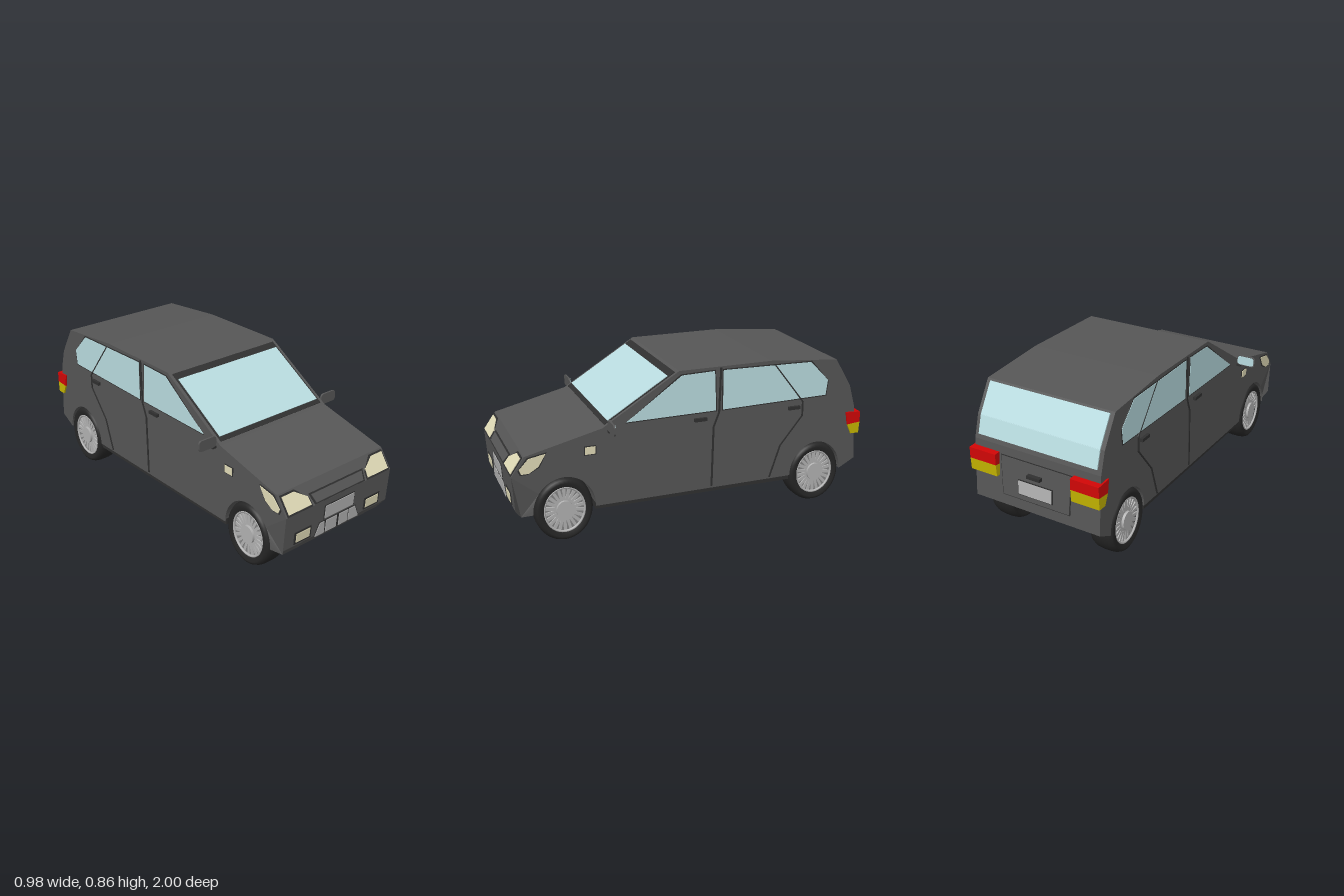
import * as THREE from 'three';

const mat = (name, color, side = THREE.FrontSide) => {
  const m = new THREE.MeshStandardMaterial({ color, side });
  m.name = name;
  return m;
};
const M = {
  body: mat('body grey', 0x565656),
  trim: mat('dark trim', 0x303030),
  tyre: mat('tyre black', 0x262626),
  glass: mat('pale glass', 0xb9dce0),
  silver: mat('silver', 0xb2b2b2),
  shade: mat('rim shade', 0x858585),
  lamp: mat('cream lamp', 0xe2dcb8),
  red: mat('red lamp', 0xd00606),
  yellow: mat('yellow lamp', 0xc4b400),
};
const HALF = 0.378;

export function createModel() {
  const car = new THREE.Group();
  car.name = 'car';

  const add = (name, geo, m, parent = car) => {
    const mesh = new THREE.Mesh(geo, m);
    mesh.name = name;
    parent.add(mesh);
    return mesh;
  };
  const box = (name, m, w, h, d, x, y, z, parent = car) => {
    const b = add(name, new THREE.BoxGeometry(w, h, d), m, parent);
    b.position.set(x, y, z);
    return b;
  };
  const extrude = (pts, depth) => new THREE.ExtrudeGeometry(
    new THREE.Shape(pts.map(p => new THREE.Vector2(p[0], p[1]))),
    { depth, bevelEnabled: false });

  // slab drawn in (z, y), spanning x0 to x0 + t, on both sides of the car
  const sides = (name, m, pts, t = 0.004, x0 = HALF) => {
    for (const [label, x] of [['left', x0 + t], ['right', -x0]]) {
      const g = extrude(pts, t);
      g.rotateY(-Math.PI / 2);
      g.translate(x, 0, 0);
      add(label + name, g, m);
    }
  };
  // thin plate drawn in (x, y), laid on the slope from a to b, both (z, y); dir 1 front, -1 back
  const face = (name, m, pts, a, b, t = 0.006, dir = 1) => {
    const dz = b[0] - a[0], dy = b[1] - a[1], len = Math.hypot(dz, dy);
    const g = extrude(pts.map(([x, y]) => [x * dir, (y - a[1]) / dy * len]), t);
    const X = new THREE.Vector3(dir, 0, 0), Y = new THREE.Vector3(0, dy / len, dz / len);
    const basis = new THREE.Matrix4().makeBasis(X, Y, X.clone().cross(Y));
    g.applyMatrix4(basis.setPosition(0, a[1], a[0]));
    add(name, g, m);
  };
  const rect = (x0, x1, y0, y1) => [[x0, y0], [x1, y0], [x1, y1], [x0, y1]];
  const flip = pts => pts.map(([x, y]) => [-x, y]);
  const grow = (pts, d) => {
    const cx = pts.reduce((s, p) => s + p[0], 0) / pts.length;
    const cy = pts.reduce((s, p) => s + p[1], 0) / pts.length;
    return pts.map(([x, y]) => [x + Math.sign(x - cx) * d, y + Math.sign(y - cy) * d]);
  };
  const line = (pts, w) => [
    ...pts.map(([z, y]) => [z - w / 2, y]),
    ...pts.slice().reverse().map(([z, y]) => [z + w / 2, y])];

  // body shell: side profile with wheel arches cut in
  const arch = (zc, rx, ry, y0) => Array.from({ length: 25 }, (_, i) => {
    const a = Math.PI * i / 24;
    return [zc - rx * Math.cos(a), y0 + ry * Math.sin(a)];
  });
  const shell = extrude([
    [-0.89, 0.18], ...arch(-0.727, 0.159, 0.18, 0.18), ...arch(0.73, 0.168, 0.187, 0.175),
    [0.955, 0.16], [0.988, 0.21], [1.0, 0.4], [0.93, 0.5], [0.52, 0.6], [0.1, 0.86],
    [-0.43, 0.862], [-0.83, 0.83], [-0.925, 0.67], [-0.96, 0.55], [-0.982, 0.23],
  ], HALF * 2);
  shell.rotateY(-Math.PI / 2);
  shell.translate(HALF, 0, 0);
  const p = shell.attributes.position;
  for (let i = 0; i < p.count; i++) {
    if (p.getY(i) < 0.17 && p.getZ(i) > 0.94) p.setX(i, p.getX(i) * 0.92);
  }
  shell.computeVertexNormals();
  add('bodyShell', shell, M.body);

  // floor and sills
  box('floor', M.trim, 0.46, 0.02, 1.8, 0, 0.172, 0.04);
  box('sills', M.trim, 0.745, 0.035, 1.13, 0, 0.173, 0);

  // windscreen
  const screen = rect(-0.35, 0.35, 0.624, 0.828);
  const wsA = [0.52, 0.6], wsB = [0.1, 0.86];
  face('windscreenTrim', M.trim, rect(-0.36, 0.36, 0.61, 0.85), wsA, wsB, 0.003);
  face('windscreen', M.glass, screen, wsA, wsB, 0.007);

  // rear window in two bent panes
  const rw = [[-0.96, 0.55], [-0.925, 0.67], [-0.83, 0.83]];
  face('rearWindowLower', M.glass, rect(-0.355, 0.355, 0.575, 0.672), rw[0], rw[1], 0.007, -1);
  face('rearWindowUpper', M.glass, rect(-0.355, 0.355, 0.668, 0.82), rw[1], rw[2], 0.007, -1);

  // side windows
  const frontWindow = [[0.39, 0.617], [0.085, 0.835], [-0.1, 0.84], [-0.11, 0.622]];
  const rearWindow = [[-0.15, 0.622], [-0.15, 0.84], [-0.67, 0.832], [-0.78, 0.72], [-0.77, 0.634]];
  for (const [n, w] of [['FrontWindow', frontWindow], ['RearWindow', rearWindow]]) {
    sides(n + 'Trim', M.trim, grow(w, 0.006), 0.002);
    sides(n, M.glass, w, 0.004);
  }

  // door seams and handles
  sides('FrontDoorSeam', M.trim,
    line([[-0.135, 0.855], [-0.128, 0.61], [-0.097, 0.53], [-0.09, 0.19]], 0.01), 0.005);
  sides('RearDoorSeam', M.trim,
    line([[-0.45, 0.84], [-0.63, 0.61], [-0.63, 0.53], [-0.5, 0.37], [-0.44, 0.19]], 0.009), 0.005);
  for (const z of [-0.02, -0.575]) {
    sides('DoorHandle', M.trim,
      [[z - 0.035, 0.573], [z + 0.035, 0.573], [z + 0.035, 0.591], [z - 0.035, 0.591]], 0.016);
  }

  // headlamps wrapping onto the wings
  const noseA = [1.0, 0.4], noseB = [0.93, 0.5];
  const lamp = [[0.205, 0.408], [0.36, 0.408], [0.36, 0.485], [0.28, 0.485], [0.21, 0.445]];
  for (const [n, q] of [['left', lamp], ['right', flip(lamp)]]) {
    face(n + 'HeadlampTrim', M.trim, grow(q, 0.008), noseA, noseB, 0.004);
    face(n + 'Headlamp', M.lamp, q, noseA, noseB, 0.008);
  }
  const wing = [[0.96, 0.435], [0.91, 0.488], [0.82, 0.505], [0.86, 0.44], [0.91, 0.41], [0.95, 0.41]];
  sides('HeadlampWingTrim', M.trim, grow(wing, 0.006), 0.004);
  sides('HeadlampWing', M.lamp, wing, 0.007);
  const marker = [[0.56, 0.47], [0.615, 0.47], [0.615, 0.51], [0.56, 0.51]];
  sides('MarkerTrim', M.trim, grow(marker, 0.005), 0.003);
  sides('Marker', M.lamp, marker, 0.006);

  // grille recess between the headlamps
  face('grilleOutline', M.trim,
    [[-0.18, 0.401], [0.18, 0.401], [0.195, 0.453], [-0.195, 0.453]], noseA, noseB, 0.003);
  face('grillePanel', M.body,
    [[-0.17, 0.407], [0.17, 0.407], [0.183, 0.446], [-0.183, 0.446]], noseA, noseB, 0.005);

  // bumper: plate, fog lamps and lower intakes
  const bumpA = [0.988, 0.21], bumpB = [1.0, 0.4];
  face('frontPlateTrim', M.trim, rect(-0.109, 0.109, 0.286, 0.369), bumpA, bumpB, 0.003);
  face('frontPlate', M.silver, rect(-0.104, 0.104, 0.291, 0.364), bumpA, bumpB, 0.006);
  for (const [n, s] of [['left', 1], ['right', -1]]) {
    const c = 0.253 * s;
    face(n + 'FogLampTrim', M.trim, rect(c - 0.058, c + 0.058, 0.22, 0.29), bumpA, bumpB, 0.004);
    face(n + 'FogLamp', M.lamp, rect(c - 0.047, c + 0.047, 0.231, 0.28), bumpA, bumpB, 0.007);
  }
  const intakes = [
    [[-0.165, 0.205], [-0.098, 0.205], [-0.103, 0.275], [-0.135, 0.275]],
    rect(-0.09, -0.012, 0.205, 0.275), rect(0.006, 0.07, 0.205, 0.275),
    [[0.078, 0.205], [0.155, 0.205], [0.122, 0.275], [0.078, 0.275]],
  ];
  face('intakeTrim', M.trim,
    [[-0.17, 0.203], [0.16, 0.203], [0.126, 0.28], [-0.139, 0.28]], bumpA, bumpB, 0.003);
  intakes.forEach((q, i) => face('intake' + (i + 1), M.silver, q, bumpA, bumpB, 0.006));

  // tail lamps
  sides('TailLampRed', M.red,
    [[-0.908, 0.515], [-0.998, 0.51], [-0.998, 0.45], [-0.92, 0.442]], 0.163, 0.225);
  sides('TailLampYellow', M.yellow,
    [[-0.92, 0.442], [-0.998, 0.45], [-0.994, 0.385], [-0.945, 0.385]], 0.163, 0.225);

  // tailgate with plate and handle
  const tailA = [-0.982, 0.23], tailB = [-0.96, 0.55];
  const gate = [[-0.2, 0.29], [0.2, 0.29], [0.21, 0.5], [-0.21, 0.5]];
  face('tailgateSeam', M.trim, grow(gate, 0.005), tailA, tailB, 0.002, -1);
  face('tailgatePanel', M.body, gate, tailA, tailB, 0.005, -1);
  face('rearPlateTrim', M.trim, rect(-0.105, 0.105, 0.317, 0.398), tailA, tailB, 0.009, -1);
  face('rearPlate', M.silver, rect(-0.1, 0.1, 0.322, 0.393), tailA, tailB, 0.013, -1);
  box('tailgateHandle', M.trim, 0.08, 0.018, 0.03, 0, 0.437, -0.98);

  // door mirrors
  for (const [n, s] of [['left', 1], ['right', -1]]) {
    const mirror = new THREE.Group();
    mirror.name = n + 'Mirror';
    const pad = (w, h, r, d) => {
      const sh = new THREE.Shape();
      sh.absellipse(w - r, h - r, r, r, 0, Math.PI / 2);
      sh.absellipse(r - w, h - r, r, r, Math.PI / 2, Math.PI);
      sh.absellipse(r - w, r - h, r, r, Math.PI, Math.PI * 1.5);
      sh.absellipse(w - r, r - h, r, r, Math.PI * 1.5, Math.PI * 2);
      return new THREE.ExtrudeGeometry(sh, { depth: d, bevelEnabled: false, curveSegments: 5 });
    };
    add('mirrorShell', pad(0.055, 0.03, 0.018, 0.01), M.body, mirror);
    add('mirrorGlass', pad(0.049, 0.025, 0.014, 0.004), M.glass, mirror).position.z = -0.003;
    box('mirrorArm', M.trim, 0.035, 0.012, 0.012, -0.05 * s, -0.034, 0.004, mirror);
    mirror.position.set(0.435 * s, 0.616, 0.482);
    car.add(mirror);
  }

  // wheels: tyre, dished rim, fine spokes and hub, outer side towards +x
  const tyreProfile = [[0.122, -0.06], [0.15, -0.072], [0.166, -0.064], [0.175, -0.045], [0.178, -0.02],
    [0.178, 0.02], [0.175, 0.045], [0.166, 0.064], [0.15, 0.072], [0.122, 0.06]]
    .map(q => new THREE.Vector2(q[0], q[1]));
  const wheel = (name, x, z) => {
    const w = new THREE.Group();
    w.name = name;
    const lay = g => g.rotateZ(-Math.PI / 2);
    add('tyre', lay(new THREE.LatheGeometry(tyreProfile, 40)), M.tyre, w);
    add('rimDish', lay(new THREE.CylinderGeometry(0.125, 0.125, 0.095, 40)), M.shade, w);
    add('rimLip', new THREE.TorusGeometry(0.123, 0.007, 8, 40).rotateY(Math.PI / 2), M.silver, w)
      .position.x = 0.057;
    add('hub', lay(new THREE.CylinderGeometry(0.05, 0.053, 0.07, 24)), M.silver, w).position.x = 0.033;
    for (let i = 0; i < 22; i++) {
      const g = new THREE.BoxGeometry(0.014, 0.078, 0.017);
      g.translate(0.048, 0.085, 0);
      g.rotateX(i / 22 * Math.PI * 2);
      add('spoke', g, M.silver, w);
    }
    w.scale.z = 0.88;
    w.position.set(x, 0.178, z);
    if (x < 0) w.rotation.y = Math.PI;
    car.add(w);
  };
  for (const [n, z] of [['front', 0.73], ['rear', -0.727]]) {
    wheel(n + 'LeftWheel', 0.312, z);
    wheel(n + 'RightWheel', -0.312, z);
  }
  return car;
}
